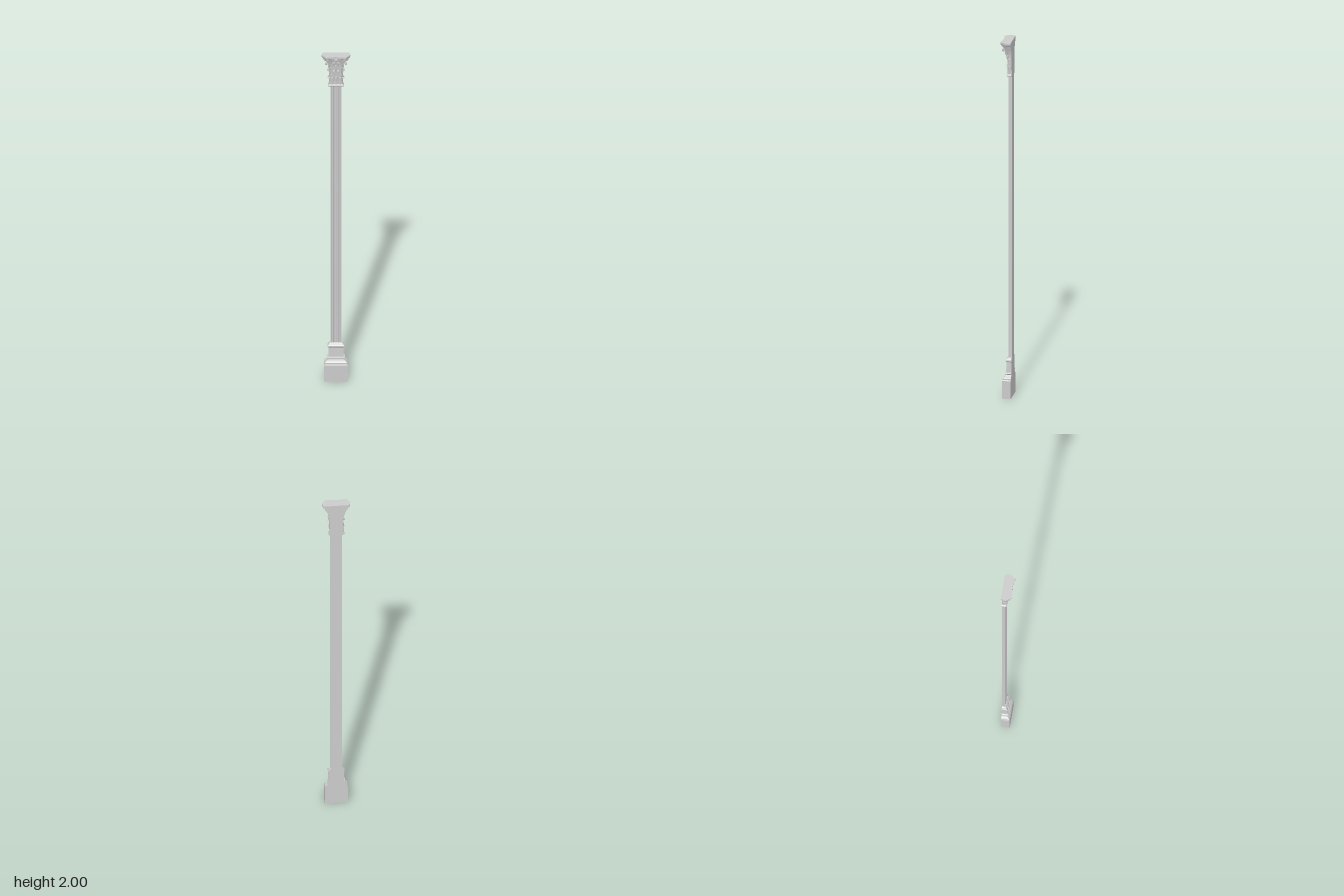
import * as THREE from 'three';

const BACK = -0.03;
const material = new THREE.MeshStandardMaterial({ color: 0xcccccc, flatShading: true });
const leafMaterial = new THREE.MeshStandardMaterial({ color: 0xcccccc, side: THREE.DoubleSide });

function add(parent, name, geometry, mat = material) {
  const mesh = new THREE.Mesh(geometry, mat);
  mesh.name = name;
  parent.add(mesh);
  return mesh;
}

// Joins rings of [x, y, z] points, listed from bottom to top, and caps both ends.
function loft(rings) {
  const n = rings[0].length, pos = [], idx = [];
  rings.forEach(r => r.forEach(p => pos.push(...p)));
  for (let k = 0; k < rings.length - 1; k++) {
    for (let i = 0; i < n; i++) {
      const a = k * n + i, b = k * n + (i + 1) % n;
      idx.push(a, b, b + n, a, b + n, a + n);
    }
  }
  [0, rings.length - 1].forEach(k => {
    const flat = rings[k].map(p => new THREE.Vector2(p[0], -p[2]));
    THREE.ShapeUtils.triangulateShape(flat, []).forEach(([a, b, c]) => {
      const o = k * n;
      idx.push(o + a, o + (k ? b : c), o + (k ? c : b));
    });
  });
  const g = new THREE.BufferGeometry();
  g.setAttribute('position', new THREE.Float32BufferAttribute(pos, 3));
  g.setIndex(idx);
  const out = g.toNonIndexed();
  out.computeVertexNormals();
  return out;
}

// Flat-backed moulding from rows of [height, half width, front z]; c cuts the front corners.
function moulding(rows, c = 0) {
  return loft(rows.map(([y, w, f]) => {
    const front = c ? [[w, y, f - c], [w - c, y, f], [c - w, y, f], [-w, y, f - c]]
      : [[w, y, f], [-w, y, f]];
    return [[-w, y, BACK], ...front.reverse(), [w, y, BACK]];
  }));
}

// Plan of the abacus: cut corners and a hollowed front.
function abacusRing(y, s) {
  const pts = [[-0.07 * s, y, BACK], [-0.076 * s, y, -0.002]];
  for (let i = 0; i <= 12; i++) {
    const u = i / 6 - 1;
    pts.push([0.053 * s * u, y, 0.021 + 0.007 * u * u - (1 - s) * 0.075]);
  }
  pts.push([0.076 * s, y, -0.002], [0.07 * s, y, BACK]);
  return pts;
}

// Lobed, ribbed leaf that rises and curls forward at the tip.
function leafGeometry(w, h, out) {
  const g = new THREE.PlaneGeometry(1, 1, 10, 16), p = g.attributes.position;
  for (let i = 0; i < p.count; i++) {
    const u = p.getX(i) * 2, t = p.getY(i) + 0.5;
    const taper = t < 0.6 ? 1 : Math.sqrt(Math.max(0.03, 1 - ((t - 0.6) / 0.4) ** 2));
    const lobe = 0.78 + 0.22 * Math.abs(Math.sin(t * Math.PI * 3.5));
    const y = t < 0.8 ? t / 0.8 : 1 - (t - 0.8) * 1.2;
    p.setXYZ(i, u * w / 2 * taper * lobe, y * h,
      0.002 + out * t ** 3 + 0.0012 * Math.cos(u * Math.PI * 2.5) - 0.002 * u * u);
  }
  g.computeVertexNormals();
  return g;
}

function addLeaf(parent, name, x, y, z, turn, w, h, out) {
  const m = add(parent, name, leafGeometry(w, h, out), leafMaterial);
  m.position.set(x, y, z);
  m.rotation.y = turn;
}

// Scroll rising from a stem and winding inward.
function scrollGeometry(r, drop, thick) {
  const pts = [new THREE.Vector3(-r * 1.6, -drop, 0), new THREE.Vector3(-r * 1.3, -drop * 0.4, 0)];
  for (let i = 0; i <= 22; i++) {
    const a = Math.PI - i / 22 * Math.PI * 3.5, q = r * (1 - 0.75 * i / 22);
    pts.push(new THREE.Vector3(q * Math.cos(a), q * Math.sin(a), 0));
  }
  return new THREE.TubeGeometry(new THREE.CatmullRomCurve3(pts), 50, thick, 6);
}

export function createModel() {
  const model = new THREE.Group();
  model.name = 'pilaster';

  // Base
  const base = new THREE.Group();
  base.name = 'base';
  model.add(base);
  add(base, 'plinth', moulding([[0, 0.0625, 0.017], [0.1, 0.0625, 0.017], [0.105, 0.06, 0.014]]));
  add(base, 'lowerMoulding', moulding([
    [0.105, 0.06, 0.014], [0.112, 0.06, 0.014], [0.117, 0.055, 0.01], [0.122, 0.048, 0.004],
    [0.13, 0.044, 0.001], [0.132, 0.047, 0.004], [0.136, 0.049, 0.006], [0.141, 0.047, 0.004],
    [0.143, 0.042, 0]]));
  add(base, 'pedestalBlock', moulding([[0.143, 0.041, -0.001], [0.2, 0.039, -0.003]]));
  add(base, 'upperMoulding', moulding([
    [0.2, 0.04, -0.002], [0.204, 0.044, 0.001], [0.211, 0.044, 0.001], [0.215, 0.04, -0.003],
    [0.22, 0.037, -0.006], [0.224, 0.031, -0.011]]));

  // Fluted shaft
  const flutes = 4, pitch = 0.0138, radius = 0.0052, front = -0.012, half = 0.029;
  const plan = new THREE.Shape();
  plan.moveTo(-half, -BACK);
  plan.lineTo(-half, -front);
  for (let i = 0; i < flutes; i++) {
    const cx = (i - (flutes - 1) / 2) * pitch;
    for (let k = 0; k <= 8; k++) {
      const a = Math.PI * (1 - k / 8);
      plan.lineTo(cx + radius * Math.cos(a), -front + radius * Math.sin(a));
    }
  }
  plan.lineTo(half, -front);
  plan.lineTo(half, -BACK);
  const shaft = new THREE.ExtrudeGeometry(plan, { depth: 1.59, bevelEnabled: false });
  shaft.rotateX(-Math.PI / 2).translate(0, 0.22, 0);
  add(model, 'shaft', shaft);

  // Capital
  const capital = new THREE.Group();
  capital.name = 'capital';
  model.add(capital);
  add(capital, 'neckRing', moulding([
    [1.802, 0.03, -0.011], [1.805, 0.041, -0.004], [1.809, 0.043, -0.002], [1.814, 0.041, -0.004],
    [1.818, 0.035, -0.009]], 0.004));
  add(capital, 'bell', moulding([
    [1.815, 0.034, -0.009], [1.86, 0.035, -0.008], [1.9, 0.037, -0.006], [1.93, 0.041, -0.003],
    [1.95, 0.047, 0.002], [1.965, 0.053, 0.007], [1.972, 0.053, 0.007]], 0.008));

  // Two rows of leaves on the front, sides and corners
  for (let i = -1; i <= 1; i++)
    addLeaf(capital, 'lowerLeaf', i * 0.021, 1.817, -0.008, 0, 0.021, 0.048, 0.008);
  for (let i = -1; i <= 1; i += 2)
    addLeaf(capital, 'upperLeaf', i * 0.0115, 1.85, -0.008, 0, 0.023, 0.06, 0.011);
  addLeaf(capital, 'centreLeaf', 0, 1.885, -0.007, 0, 0.016, 0.055, 0.012);
  for (const s of [-1, 1]) {
    addLeaf(capital, 'sideLowerLeaf', s * 0.034, 1.817, -0.019, s * Math.PI / 2, 0.02, 0.048, 0.008);
    addLeaf(capital, 'sideUpperLeaf', s * 0.034, 1.85, -0.019, s * Math.PI / 2, 0.02, 0.06, 0.01);
    addLeaf(capital, 'cornerLowerLeaf', s * 0.031, 1.817, -0.013, s * Math.PI / 4, 0.018, 0.046, 0.009);
    addLeaf(capital, 'cornerLeaf', s * 0.031, 1.86, -0.012, s * Math.PI / 4, 0.02, 0.065, 0.015);

    // Corner and inner scrolls
    const corner = add(capital, 'cornerScroll', scrollGeometry(0.011, 0.04, 0.0032));
    corner.position.set(s * 0.05, 1.957, 0.009);
    corner.rotation.y = s > 0 ? -Math.PI / 4 : -Math.PI * 3 / 4;
    const inner = add(capital, 'innerScroll', scrollGeometry(0.008, 0.035, 0.0022));
    inner.position.set(s * 0.011, 1.955, 0.006);
    inner.rotation.y = s > 0 ? Math.PI : 0;
  }

  // Abacus with its bead row and central flower
  add(capital, 'abacus', loft([
    abacusRing(1.968, 0.83), abacusRing(1.974, 0.86), abacusRing(1.981, 0.9),
    abacusRing(1.984, 0.96), abacusRing(1.99, 1), abacusRing(2, 1)]));
  for (let i = -5; i <= 5; i++) {
    const u = i / 5.5;
    const bead = add(capital, 'bead', new THREE.SphereGeometry(0.0034, 8, 6));
    bead.position.set(u * 0.05, 1.981, 0.015 + 0.007 * u * u);
  }
  for (const s of [-1, 1]) for (let i = 0; i < 4; i++) {
    const t = (i + 0.5) / 4;
    const bead = add(capital, 'cornerBead', new THREE.SphereGeometry(0.003, 8, 6));
    bead.position.set(s * (0.069 - 0.02 * t), 1.982, -0.001 + 0.023 * t);
  }
  for (let i = 0; i < 6; i++) {
    const a = i * Math.PI / 3;
    const petal = add(capital, 'flowerPetal', new THREE.SphereGeometry(0.004, 8, 6));
    petal.position.set(0.005 * Math.cos(a), 1.979 + 0.005 * Math.sin(a), 0.018);
  }
  add(capital, 'flowerCentre', new THREE.SphereGeometry(0.004, 8, 6)).position.set(0, 1.979, 0.02);

  return model;
}
